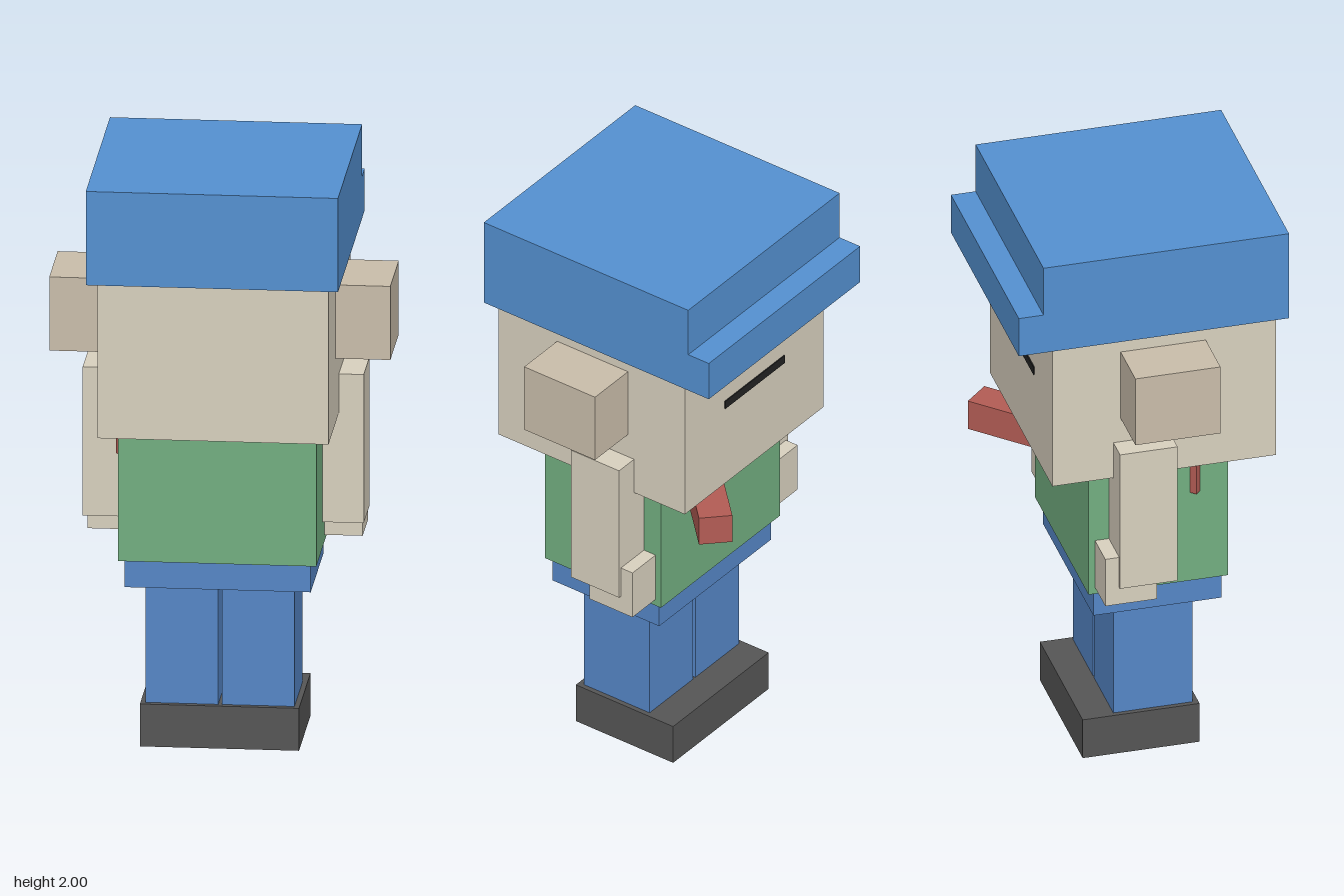
import * as THREE from 'three';

const mat = (color) => new THREE.MeshStandardMaterial({ color });

export function createModel() {
  const model = new THREE.Group();
  model.name = 'blockFigure';

  const skin = mat(0xd8d0be), earSkin = mat(0xc9bdaa), hatBlue = mat(0x5490d0);
  const denim = mat(0x5586c6), green = mat(0x72ae80), red = mat(0xb25c54);
  const shoeGrey = mat(0x555555), black = mat(0x222222);

  // Box given by its extents on each axis
  function box(name, material, [x0, x1], [y0, y1], [z0, z1]) {
    const mesh = new THREE.Mesh(new THREE.BoxGeometry(x1 - x0, y1 - y0, z1 - z0), material);
    mesh.position.set((x0 + x1) / 2, (y0 + y1) / 2, (z0 + z1) / 2);
    mesh.name = name;
    model.add(mesh);
    return mesh;
  }

  // The same box on both sides
  function pair(name, material, [x0, x1], y, z) {
    box(name + 'Left', material, [x0, x1], y, z);
    box(name + 'Right', material, [-x1, -x0], y, z);
  }

  // Hat with its brim over the face (the face looks towards -z)
  box('hat', hatBlue, [-0.42, 0.42], [1.675, 2], [-0.38, 0.465]);
  box('hatBrim', hatBlue, [-0.42, 0.42], [1.675, 1.82], [-0.465, -0.38]);

  // Head and face
  box('head', skin, [-0.385, 0.385], [1.135, 1.675], [-0.34, 0.43]);
  pair('ear', earSkin, [0.385, 0.568], [1.36, 1.615], [-0.105, 0.188]);
  pair('eye', black, [0.11, 0.19], [1.56, 1.635], [-0.36, -0.34]);
  box('mouth', black, [-0.165, 0.165], [1.44, 1.47], [-0.344, -0.34]);

  // Body, arms and hands
  box('torso', green, [-0.33, 0.33], [0.665, 1.135], [-0.2, 0.28]);
  pair('arm', skin, [0.33, 0.468], [0.755, 1.27], [-0.13, 0.068]);
  pair('hand', skin, [0.33, 0.458], [0.69, 0.87], [-0.178, 0]);

  // Red bar running diagonally through the chest
  const bar = box('chestBar', red, [-0.435, 0.435], [1.003, 1.11], [-0.056, 0.056]);
  bar.position.set(0, 1.057, -0.102);
  bar.rotation.y = Math.PI / 4;

  // Hips, legs and shoes
  box('hips', denim, [-0.31, 0.31], [0.57, 0.665], [-0.178, 0.263]);
  pair('leg', denim, [0.006, 0.248], [0.145, 0.57], [-0.092, 0.18]);
  box('shoes', shoeGrey, [-0.265, 0.265], [0, 0.147], [-0.202, 0.2]);

  return model;
}
